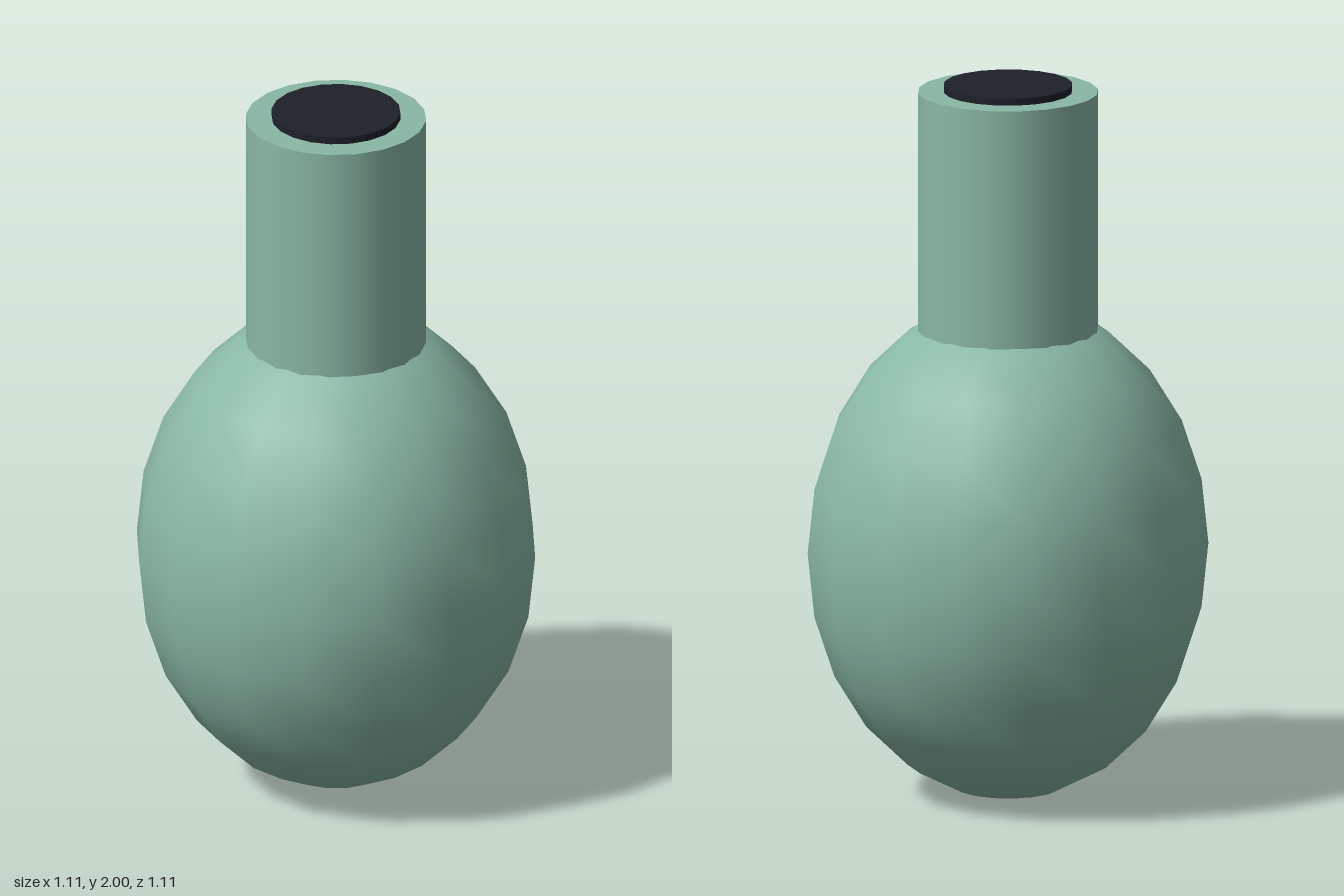
import * as THREE from 'three';

export function createModel() {
  const group = new THREE.Group();
  const glaze = new THREE.MeshStandardMaterial({ color: 0x8ab8a6 });
  const dark = new THREE.MeshStandardMaterial({ color: 0x1e2029 });

  const add = (name, geometry, material, y) => {
    const mesh = new THREE.Mesh(geometry, material);
    mesh.name = name;
    mesh.position.y = y;
    group.add(mesh);
  };

  // Upright cylinder spanning two heights
  const addCylinder = (name, radius, bottom, top, material) =>
    add(name, new THREE.CylinderGeometry(radius, radius, top - bottom, 20), material, (bottom + top) / 2);

  // Egg-shaped body: a stretched sphere
  const body = new THREE.SphereGeometry(0.553, 16, 12);
  body.scale(1, 0.695 / 0.553, 1);
  add('body', body, glaze, 0.695);

  // Straight neck, sunk slightly into the body
  addCylinder('neck', 0.248, 1.28, 1.98, glaze);

  // Dark disc marking the mouth
  addCylinder('mouth', 0.177, 1.96, 2, dark);

  return group;
}
